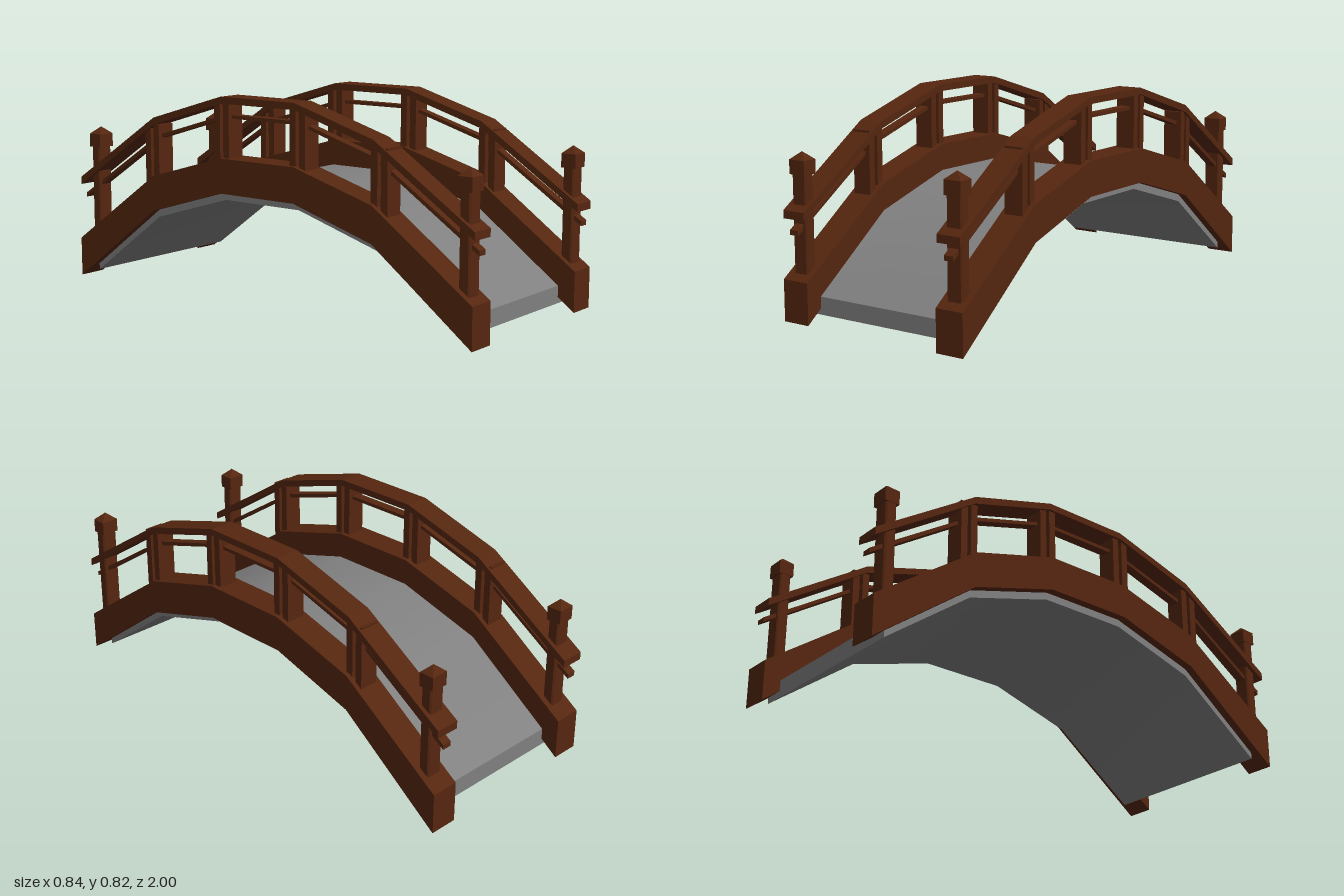
import * as THREE from 'three';
import { toCreasedNormals } from 'three/addons/utils/BufferGeometryUtils.js';

const SIDE_X = 0.361;

// Arched band: top and bottom heights at the end, outer kink and inner kink, mirrored in z.
function band(end, tops, bottoms, width) {
  const zs = [end, 0.558, 0.187];
  const half = (ys) => zs.map((z, i) => [z, ys[i]]);
  const full = (ys) => [...half(ys), ...half(ys).reverse().map(([z, y]) => [-z, y])];
  const outline = [...full(tops), ...full(bottoms).reverse()];
  const shape = new THREE.Shape(outline.map(([z, y]) => new THREE.Vector2(z, y)));
  const geometry = new THREE.ExtrudeGeometry(shape, { depth: width, bevelEnabled: false });
  geometry.translate(0, 0, -width / 2);
  geometry.rotateY(Math.PI / 2);
  return geometry;
}

// Upright with chamfered corners, standing on y = 0.
function chamferedPost(w, d, h, c) {
  const x = w / 2, z = d / 2;
  const corners = [
    [x, -z + c], [x, z - c], [x - c, z], [-x + c, z],
    [-x, z - c], [-x, -z + c], [-x + c, -z], [x - c, -z],
  ];
  const shape = new THREE.Shape(corners.map(([a, b]) => new THREE.Vector2(a, b)));
  const geometry = new THREE.ExtrudeGeometry(shape, { depth: h, bevelEnabled: false });
  geometry.rotateX(-Math.PI / 2);
  return geometry;
}

export function createModel() {
  const wood = new THREE.MeshStandardMaterial({ color: 0x55260f });
  wood.name = 'dark wood';
  const stone = new THREE.MeshStandardMaterial({ color: 0x808080 });
  stone.name = 'grey deck';

  const bridge = new THREE.Group();
  bridge.name = 'archedBridge';

  const add = (parent, name, geometry, material, x = 0, y = 0, z = 0) => {
    const mesh = new THREE.Mesh(geometry, material);
    mesh.name = name;
    mesh.position.set(x, y, z);
    parent.add(mesh);
  };

  // Walkway, softly shaded along the arch and tucked under the beams
  const deck = band(0.928, [0.098, 0.366, 0.473], [0.028, 0.3, 0.41], 0.77);
  add(bridge, 'deck', toCreasedNormals(deck, 0.7), stone);

  // Shared geometry for both sides
  const beam = band(1, [0.163, 0.474, 0.58], [0, 0.33, 0.44], 0.118);
  const handrail = band(1, [0.427, 0.714, 0.823], [0.396, 0.685, 0.796], 0.102);
  const lowerRail = band(1, [0.356, 0.641, 0.75], [0.337, 0.625, 0.736], 0.04);
  const endPost = chamferedPost(0.068, 0.046, 0.44, 0.006);
  const capBlock = new THREE.BoxGeometry(0.073, 0.055, 0.062);
  const capPoint = new THREE.ConeGeometry(Math.SQRT1_2, 0.03, 4);
  capPoint.rotateY(Math.PI / 4);
  capPoint.scale(0.073, 1, 0.062);
  const flatCapPoint = capPoint.toNonIndexed();
  flatCapPoint.computeVertexNormals();

  for (const side of [-1, 1]) {
    const railing = new THREE.Group();
    railing.name = side > 0 ? 'leftRailing' : 'rightRailing';
    railing.position.x = side * SIDE_X;
    bridge.add(railing);

    add(railing, 'sideBeam', beam, wood);
    add(railing, 'handrail', handrail, wood);
    add(railing, 'lowerRail', lowerRail, wood);

    // Capped posts at both ends
    for (const z of [0.946, -0.924]) {
      add(railing, 'endPost', endPost, wood, 0, 0.13, z);
      add(railing, 'postCap', capBlock, wood, 0, 0.588, z);
      add(railing, 'postCapPoint', flatCapPoint, wood, 0, 0.6305, z);
    }

    // Twin planks at each bend of the rail
    for (const [z, bottom, top] of [[0.578, 0.4, 0.685], [0.193, 0.5, 0.8]]) {
      const plank = new THREE.BoxGeometry(0.08, top - bottom, 0.03);
      for (const end of [-1, 1]) {
        for (const gap of [-0.023, 0.023]) {
          add(railing, 'railPlank', plank, wood, 0, (top + bottom) / 2, end * z + gap);
        }
      }
    }
  }
  return bridge;
}
